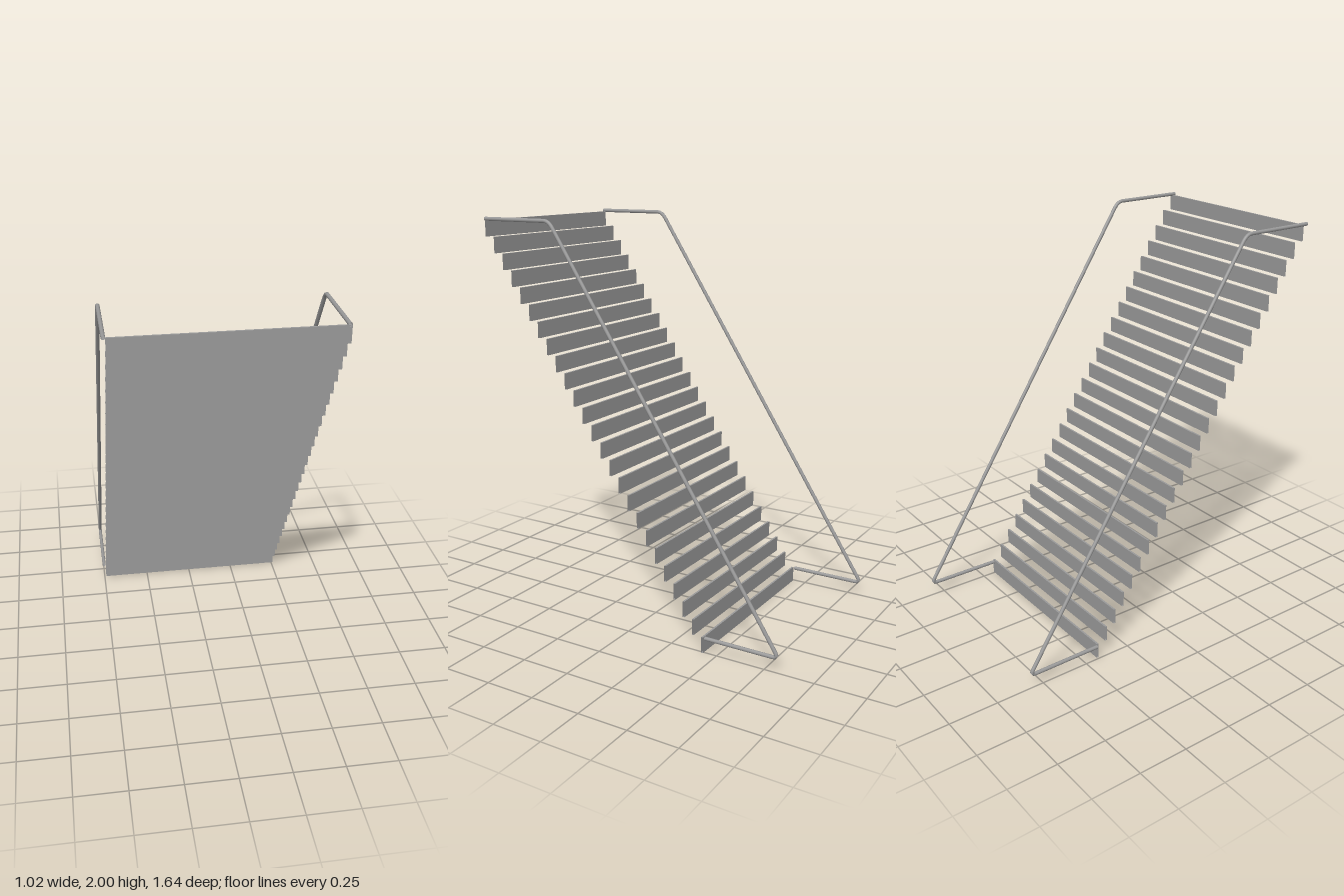
import * as THREE from 'three';

const SLATS = 25;
const v = (y, z) => new THREE.Vector3(0, y, z);

// Side profile of a rail: upper arm, long slope, lower arm, with rounded bends
function railPath() {
  const path = new THREE.CurvePath();
  path.add(new THREE.LineCurve3(v(1.99, 0.82), v(1.99, 0.455)));
  path.add(new THREE.QuadraticBezierCurve3(v(1.99, 0.455), v(1.99, 0.425), v(1.952, 0.402)));
  path.add(new THREE.LineCurve3(v(1.952, 0.402), v(0.1, -0.802)));
  path.add(new THREE.QuadraticBezierCurve3(v(0.1, -0.802), v(0.072, -0.822), v(0.072, -0.79)));
  path.add(new THREE.LineCurve3(v(0.072, -0.79), v(0.072, -0.435)));
  return path;
}

export function createModel() {
  const model = new THREE.Group();
  model.name = 'slattedStair';
  const metal = new THREE.MeshStandardMaterial({ color: 0x999999, side: THREE.DoubleSide });
  metal.name = 'greyMetal';

  // Pair of bent tube rails
  const railGeometry = new THREE.TubeGeometry(railPath(), 240, 0.0095, 10, false);
  for (const [name, x] of [['rightRail', -0.5], ['leftRail', 0.497]]) {
    const rail = new THREE.Mesh(railGeometry, metal);
    rail.name = name;
    rail.position.x = x;
    model.add(rail);
  }

  // Hollow slats, open at both ends (the two end faces are dropped)
  const slatGeometry = new THREE.BoxGeometry(1.0, 0.08, 0.01);
  slatGeometry.setIndex(Array.from(slatGeometry.index.array).slice(12));
  slatGeometry.clearGroups();
  const slats = new THREE.Group();
  slats.name = 'slats';
  for (let i = 0; i < SLATS; i++) {
    const t = i / (SLATS - 1);
    const slat = new THREE.Mesh(slatGeometry, metal);
    slat.name = 'slat';
    slat.position.set(0.009, 0.04 + t * 1.905, -0.426 + t * 1.232);
    slats.add(slat);
  }
  model.add(slats);
  return model;
}
